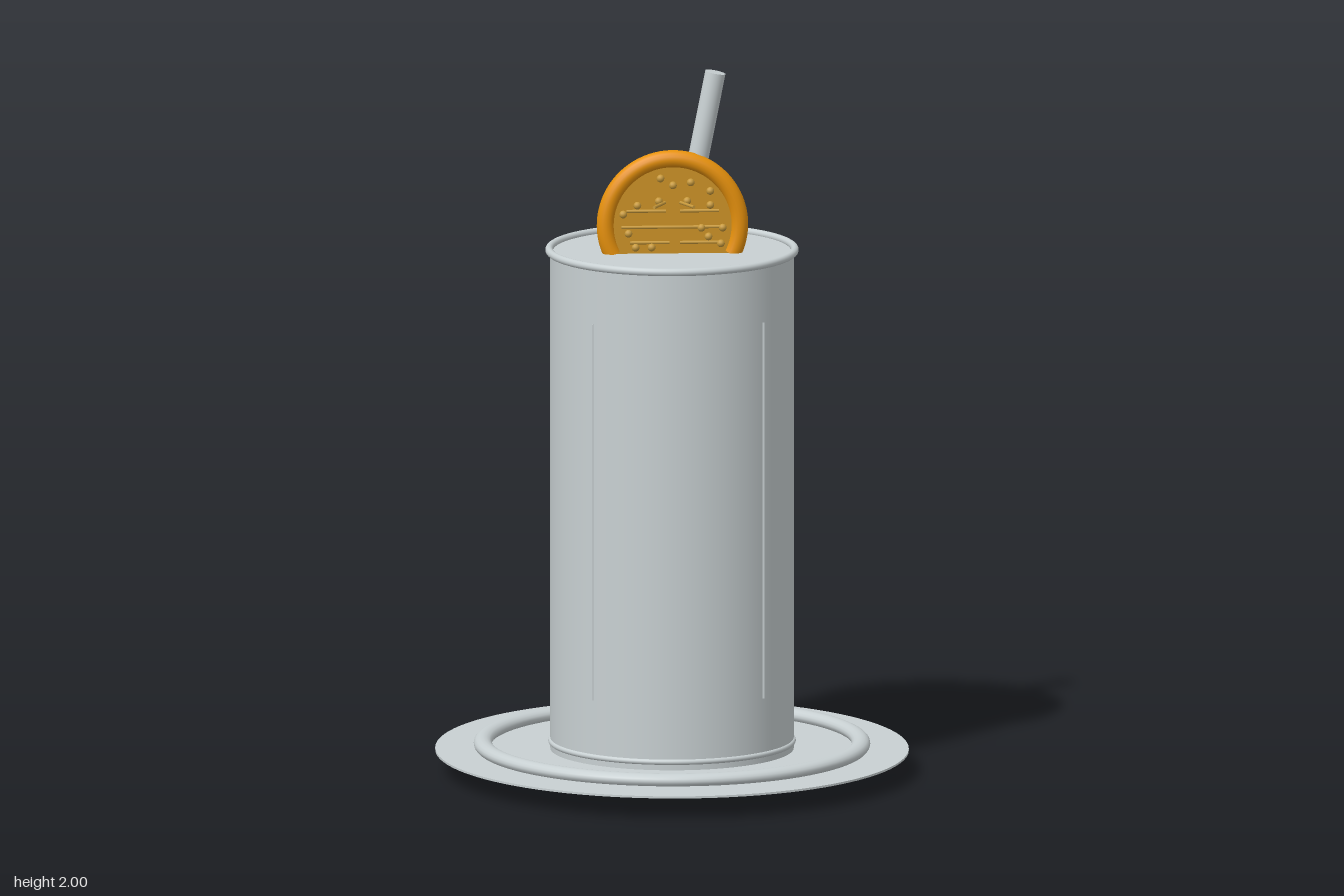
import * as THREE from 'three';

const material = (name, color) => {
  const m = new THREE.MeshStandardMaterial({ color });
  m.name = name;
  return m;
};

export function createModel() {
  const group = new THREE.Group();
  const grey = material('pale grey', 0xc8d0d2);
  const rindColour = material('orange rind', 0xe8920c);
  const fleshColour = material('orange flesh', 0xcc9226);
  const pulpColour = material('pulp', 0xc89a3c);

  const add = (name, geometry, mat, x = 0, y = 0, z = 0) => {
    const mesh = new THREE.Mesh(geometry, mat);
    mesh.name = name;
    mesh.position.set(x, y, z);
    group.add(mesh);
    return mesh;
  };
  const disc = (name, r, h, y) => add(name, new THREE.CylinderGeometry(r, r, h, 96), grey, 0, y, 0);
  const ring = (name, r, tube, y) =>
    add(name, new THREE.TorusGeometry(r, tube, 16, 96).rotateX(Math.PI / 2), grey, 0, y, 0);
  // round bar between two points
  const rod = (name, a, b, r, mat, sides = 8) => {
    const from = new THREE.Vector3(...a), to = new THREE.Vector3(...b);
    const dir = to.clone().sub(from);
    const mesh = add(name, new THREE.CylinderGeometry(r, r, dir.length(), sides), mat);
    mesh.position.copy(from).add(to).multiplyScalar(0.5);
    mesh.quaternion.setFromUnitVectors(new THREE.Vector3(0, 1, 0), dir.normalize());
  };

  // oval saucer with its raised ring
  disc('saucer', 1, 0.006, 0.062).scale.set(0.665, 1, 0.738);
  ring('saucerRing', 0.531, 0.026, 0.079).scale.set(1, 0.74, 1.067);

  // stepped foot below the saucer
  disc('footPlate', 0.452, 0.03, 0.042);
  ring('footRing', 0.45, 0.019, 0.04);
  disc('basePlate', 0.376, 0.024, 0.016);
  ring('baseRing', 0.376, 0.01, 0.01);

  // tall glass with a closed top
  disc('glass', 0.342, 1.42, 0.775);
  ring('glassRim', 0.345, 0.011, 1.489);
  ring('glassBottomRing', 0.34, 0.008, 0.088);

  // two slim highlight strips standing in front of the glass
  for (const s of [-1, 1]) {
    add('highlightStrip', new THREE.BoxGeometry(0.006, 1.075, 0.004), grey, s * 0.24, 0.803, 0.33);
  }

  // slanted straw
  rod('straw', [0.015, 1.45, -0.003], [0.122, 1.995, 0], 0.029, grey, 32);

  // citrus slice: arched rind, flat flesh
  const cy = 1.565, dip = 0.46;
  const rind = new THREE.TorusGeometry(0.188, 0.025, 16, 72, Math.PI + 2 * dip).rotateZ(-dip);
  add('rind', rind, rindColour, 0, cy, 0.024);
  const flesh = new THREE.CylinderGeometry(0.185, 0.185, 0.022, 64).rotateX(Math.PI / 2);
  add('flesh', flesh, fleshColour, 0, cy, 0.024);

  // pulp fibres across the front of the slice
  for (const [y, x0, x1] of [[1.608, -0.13, -0.02], [1.608, 0.02, 0.13], [1.562, -0.145, 0.145],
    [1.518, -0.12, -0.01], [1.518, 0.02, 0.13]]) {
    rod('pulpFibre', [x0, y, 0.045], [x1, y, 0.045], 0.0045, pulpColour);
  }
  // short fibres pointing outward
  for (const s of [-1, 1]) {
    rod('pulpSpike', [s * 0.022, 1.63, 0.035], [s * 0.056, 1.63, 0.108], 0.0045, pulpColour);
  }

  // pulp beads
  const bead = new THREE.SphereGeometry(0.011, 12, 8);
  const beads = [[-0.035, 1.702], [0, 1.682], [0.05, 1.69], [0.105, 1.665], [-0.1, 1.625],
    [-0.14, 1.6], [-0.04, 1.637], [0.04, 1.637], [0.105, 1.625], [0.08, 1.56], [0.14, 1.56],
    [-0.125, 1.545], [-0.105, 1.505], [0.1, 1.535], [0.135, 1.515], [-0.06, 1.505]];
  for (const [x, y] of beads) add('pulpBead', bead, pulpColour, x, y, 0.05);
  add('pulpBead', bead, pulpColour, 0, 1.63, 0.008);

  return group;
}
